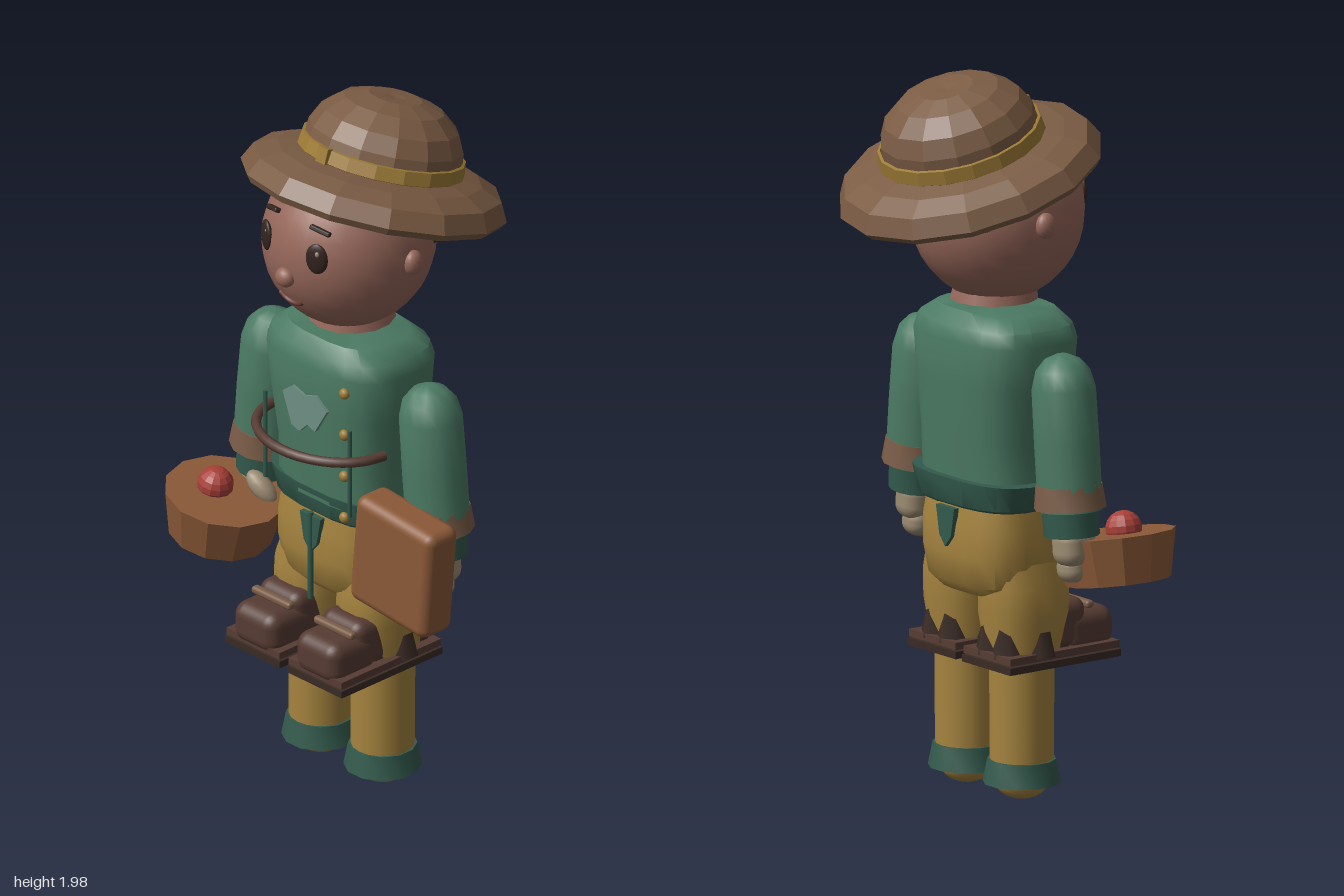
import * as THREE from 'three';
import { toCreasedNormals } from 'three/addons/utils/BufferGeometryUtils.js';
import { RoundedBoxGeometry } from 'three/addons/geometries/RoundedBoxGeometry.js';

const C = {
  skin: 0x96675a, hat: 0x7b5c44, under: 0x3c3129, gold: 0x9c7a36, green: 0x4b7a63, dark: 0x335a4c,
  yellow: 0xa6843f, boot: 0x573c33, sole: 0x3a2b25, bag: 0x8c5a38, red: 0xa83f38, hand: 0x9c8c72,
  cuff: 0x7a5c47, eye: 0x33241f, patch: 0x6f8f83,
};

// Closed loft along y: each row is [y, rx, rz, cx, cz]; power > 2 squares the rings
function loft(rows, power = 2, n = 16) {
  const pos = [], idx = [];
  const full = [[rows[0][0], 0.0005, 0.0005, rows[0][3], rows[0][4]], ...rows];
  const end = rows[rows.length - 1];
  full.push([end[0], 0.0005, 0.0005, end[3], end[4]]);
  const sp = (v) => Math.sign(v) * Math.abs(v) ** (2 / power);
  full.forEach(([y, rx, rz, cx = 0, cz = 0], r) => {
    for (let i = 0; i < n; i++) {
      const a = ((i + 0.5) / n) * Math.PI * 2;
      pos.push(cx + rx * sp(Math.sin(a)), y, cz + rz * sp(Math.cos(a)));
      if (r < full.length - 1) {
        const p = r * n + i, q = r * n + ((i + 1) % n);
        idx.push(p, q, p + n, q, q + n, p + n);
      }
    }
  });
  const g = new THREE.BufferGeometry();
  g.setAttribute('position', new THREE.Float32BufferAttribute(pos, 3));
  g.setIndex(idx);
  return toCreasedNormals(g, 0.7);
}

function add(parent, name, geometry, color, p = [0, 0, 0], r = [0, 0, 0], s = [1, 1, 1], opts = {}) {
  const m = new THREE.Mesh(geometry, new THREE.MeshStandardMaterial({ color, ...opts }));
  m.name = name;
  m.position.set(...p);
  m.rotation.set(...r);
  m.scale.set(...s);
  parent.add(m);
  return m;
}
const group = (parent, name, p = [0, 0, 0], r = [0, 0, 0]) => {
  const g = new THREE.Group();
  g.name = name;
  g.position.set(...p);
  g.rotation.set(...r);
  parent.add(g);
  return g;
};
const ball = (w = 16, h = 12) => new THREE.SphereGeometry(1, w, h);
const tube = (pts, r) => new THREE.TubeGeometry(new THREE.CatmullRomCurve3(pts.map((p) => new THREE.Vector3(...p))), 20, r, 8);

function buildHead(root) {
  const head = group(root, 'head', [0.007, 1.605, 0.07]);
  add(head, 'skull', ball(24, 18), C.skin, [0, 0, 0], [0, 0, 0], [0.232, 0.247, 0.24]);
  add(head, 'neck', new THREE.CylinderGeometry(0.1, 0.12, 0.08, 14), C.skin, [0, -0.2, -0.01]);
  add(head, 'nose', ball(), C.skin, [0, -0.04, 0.238], [0, 0, 0], [0.03, 0.028, 0.024]);
  for (const s of [-1, 1]) {
    add(head, 'ear', ball(), C.skin, [s * 0.232, 0, -0.015], [0, 0, 0], [0.024, 0.036, 0.03]);
    add(head, 'eye', ball(), C.eye, [s * 0.097, 0.042, 0.213], [0, s * 0.42, 0], [0.032, 0.045, 0.012]);
    add(head, 'eyeGlint', ball(8, 6), C.hand, [s * 0.097 + 0.01, 0.062, 0.222], [0, s * 0.42, 0], [0.006, 0.008, 0.006]);
    add(head, 'eyebrow', new RoundedBoxGeometry(0.062, 0.014, 0.02, 2, 0.005), C.eye,
      [s * 0.09, 0.118, 0.193], [-0.4, s * 0.42, -s * 0.1]);
  }
  add(head, 'mouth', tube([[-0.045, -0.108, 0.212], [-0.02, -0.124, 0.208], [0.02, -0.124, 0.208], [0.045, -0.108, 0.212]], 0.007), 0x6b3a32);
}

function buildHat(root) {
  const hat = group(root, 'hat', [0.01, 1.715, -0.02], [-0.31, 0, 0]);
  const lathe = (pts, n = 14) => new THREE.LatheGeometry(pts.map((p) => new THREE.Vector2(...p)), n);
  const flat = { flatShading: true, side: THREE.DoubleSide };
  add(hat, 'brim', lathe([[0.215, 0.04], [0.3, 0.005], [0.355, -0.025], [0.37, -0.005], [0.345, 0.045], [0.285, 0.072], [0.222, 0.085]]),
    C.hat, [0, 0, 0], [0, 0, 0], [0.99, 1, 1], flat);
  add(hat, 'crown', lathe([[0.222, 0.07], [0.214, 0.15], [0.19, 0.2], [0.14, 0.242], [0.075, 0.263], [0.03, 0.262], [0, 0.258]]),
    C.hat, [0, 0, 0], [0, 0, 0], [1, 1, 1], flat);
  add(hat, 'hatBand', lathe([[0.228, 0.083], [0.231, 0.085], [0.226, 0.122], [0.218, 0.124]], 18), C.gold, [0, 0, 0], [0, 0, 0], [1, 1, 1], flat);
  add(hat, 'bandClasp', new THREE.BoxGeometry(0.036, 0.044, 0.02), C.gold, [0, 0.104, 0.228]);
  add(hat, 'innerLining', lathe([[0.205, -0.09], [0.23, 0.06]], 16), C.under, [0, 0, 0], [0, 0, 0], [1, 1, 1], flat);
}

function buildBody(root) {
  add(root, 'jacket', loft([
    [0.86, 0.205, 0.145, 0.015, 0.065], [1.0, 0.2, 0.155, 0.015, 0.065], [1.15, 0.22, 0.165, 0.01, 0.065],
    [1.27, 0.233, 0.17, 0.008, 0.065], [1.31, 0.22, 0.16, 0.008, 0.065], [1.345, 0.17, 0.125, 0.008, 0.07],
  ], 3, 20), C.green);
  add(root, 'jacketHem', loft([
    [0.81, 0.2, 0.14, 0.01, 0.055], [0.82, 0.215, 0.15, 0.01, 0.055], [0.89, 0.238, 0.158, 0.01, 0.055],
  ], 3, 20), C.dark);
  add(root, 'trouserSeat', loft([
    [0.57, 0.15, 0.11, 0, 0.055], [0.6, 0.185, 0.138, 0, 0.055], [0.68, 0.198, 0.152, 0, 0.055],
    [0.76, 0.2, 0.15, 0, 0.055], [0.83, 0.19, 0.14, 0, 0.055],
  ], 3, 20), C.yellow);
  add(root, 'flySeam', new THREE.CylinderGeometry(0.008, 0.008, 0.26, 8), C.dark, [0.008, 0.69, 0.215]);
  // Tapering cloth points at the front and back of the waist
  const flap = new THREE.Shape([[-0.04, 0.06], [-0.025, -0.02], [0, -0.05], [0.025, -0.02], [0.04, 0.06]].map((p) => new THREE.Vector2(...p)));
  for (const z of [0.2, -0.106]) {
    add(root, 'waistFlap', new THREE.ExtrudeGeometry(flap, { depth: 0.016, bevelEnabled: false }), C.dark, [0.008, 0.75, z]);
  }
  // Chest patch
  const patch = new THREE.Shape([[-0.085, 0.04], [-0.045, 0.07], [0, 0.055], [0.045, 0.07], [0.085, 0.035],
    [0.04, -0.04], [0.01, -0.03], [-0.02, -0.06], [-0.05, -0.05]].map((p) => new THREE.Vector2(...p)));
  add(root, 'chestPatch', new THREE.ExtrudeGeometry(patch, { depth: 0.012, bevelEnabled: false }), C.patch, [0.008, 1.125, 0.225]);
  for (let i = 0; i < 4; i++) {
    add(root, 'button', ball(10, 8), C.gold, [0.15, 0.86 + i * 0.125, 0.225], [0, 0, 0], [0.016, 0.016, 0.013]);
  }
  for (const x of [-0.155, 0.17]) {
    add(root, 'jacketCord', new THREE.CylinderGeometry(0.006, 0.006, 0.26, 8), C.dark, [x, 1.0, 0.225]);
  }
  // Loose strap bowing out from the waist
  const strap = [];
  for (let i = 0; i <= 10; i++) {
    const a = (i / 10) * Math.PI;
    strap.push([0.012 - 0.215 * Math.cos(a), 1.05, 0.15 + 0.175 * Math.sin(a)]);
  }
  add(root, 'strap', tube(strap, 0.014), C.boot);
}

function buildLeg(root, s) {
  const leg = group(root, s > 0 ? 'leftLeg' : 'rightLeg', [s * 0.12 + 0.01, 0, 0]);
  add(leg, 'thigh', loft([
    [0.4, 0.09, 0.095, 0, 0.065], [0.52, 0.107, 0.12, 0, 0.07], [0.6, 0.105, 0.12, 0, 0.068], [0.7, 0.085, 0.11, -s * 0.01, 0.06],
  ], 2.5), C.yellow);
  add(leg, 'lowerLeg', new THREE.CylinderGeometry(0.088, 0.086, 0.34, 18), C.yellow, [0, 0.25, 0.063]);
  add(leg, 'ankleCuff', loft([[0.05, 0.106, 0.106, 0, 0.063], [0.115, 0.093, 0.093, 0, 0.063]], 2, 12), C.dark);
  add(leg, 'footTip', ball(14, 10), C.yellow, [0, 0.055, 0.063], [0, 0, 0], [0.075, 0.05, 0.075]);
  // Boot with its welt and sole plate
  add(leg, 'solePlate', new THREE.BoxGeometry(0.212, 0.02, 0.375), C.sole, [0, 0.388, 0.13]);
  add(leg, 'bootWelt', new THREE.BoxGeometry(0.205, 0.02, 0.37), C.boot, [0, 0.412, 0.13]);
  add(leg, 'bootToe', new RoundedBoxGeometry(0.165, 0.12, 0.17, 3, 0.04), C.boot, [0, 0.455, 0.238]);
  add(leg, 'bootVamp', new RoundedBoxGeometry(0.16, 0.14, 0.12, 3, 0.035), C.boot, [0, 0.48, 0.17]);
  add(leg, 'bootLace', new RoundedBoxGeometry(0.15, 0.022, 0.025, 2, 0.009), C.cuff, [0, 0.525, 0.24]);
  // Pointed leather flaps rising up the trouser leg
  for (let i = 0; i < 6; i++) {
    const a = (i / 6) * Math.PI * 2 + Math.PI / 6;
    add(leg, 'bootFlap', new THREE.CylinderGeometry(0.018, 0.05, 0.14, 6), C.sole,
      [0.07 * Math.sin(a), 0.48, 0.065 + 0.085 * Math.cos(a)]);
  }
}

function buildArm(root, s) {
  const arm = group(root, s > 0 ? 'leftArm' : 'rightArm', [s * 0.305 + 0.01, 1.17, 0.062], [0, 0, s * 0.09]);
  add(arm, 'sleeve', loft([
    [-0.33, 0.092, 0.085], [-0.15, 0.094, 0.085], [0, 0.09, 0.085], [0.05, 0.077, 0.072], [0.08, 0.05, 0.047], [0.094, 0.015, 0.015],
  ]), C.green);
  add(arm, 'sleeveCuff', loft([[-0.325, 0.1, 0.098], [-0.26, 0.092, 0.09]], 2, 12), C.cuff);
  add(arm, 'wrist', loft([[-0.4, 0.077, 0.074], [-0.31, 0.08, 0.077]], 2, 14), C.dark);
  add(arm, 'palm', new RoundedBoxGeometry(0.1, 0.11, 0.11, 3, 0.04), C.hand, [0, -0.43, 0.005]);
  add(arm, 'fingers', new RoundedBoxGeometry(0.085, 0.08, 0.1, 3, 0.035), C.hand, [-s * 0.01, -0.49, 0.015]);
  add(arm, 'thumb', ball(12, 8), C.hand, [-s * 0.07, -0.4, 0.075], [0.3, 0, s * -0.9], [0.028, 0.055, 0.03]);
}

function buildCarried(root) {
  add(root, 'satchel', new RoundedBoxGeometry(0.3, 0.325, 0.115, 3, 0.03), C.bag, [0.333, 0.777, 0.18], [0, 0, -0.09]);
  const basket = group(root, 'basket', [-0.335, 0.69, 0.21], [0, 0, -0.17]);
  add(basket, 'basketBody', new THREE.CylinderGeometry(0.168, 0.142, 0.13, 12), C.bag, [0, 0, 0], [0, 0, 0], [1, 1, 1], { flatShading: true });
  add(basket, 'apple', ball(12, 9), C.red, [-0.03, 0.078, 0.012], [0, 0, 0], [0.05, 0.048, 0.05], { flatShading: true });
}

export function createModel() {
  const root = new THREE.Group();
  root.name = 'figure';
  buildHead(root);
  buildHat(root);
  buildBody(root);
  for (const s of [-1, 1]) {
    buildLeg(root, s);
    buildArm(root, s);
  }
  buildCarried(root);
  return root;
}
